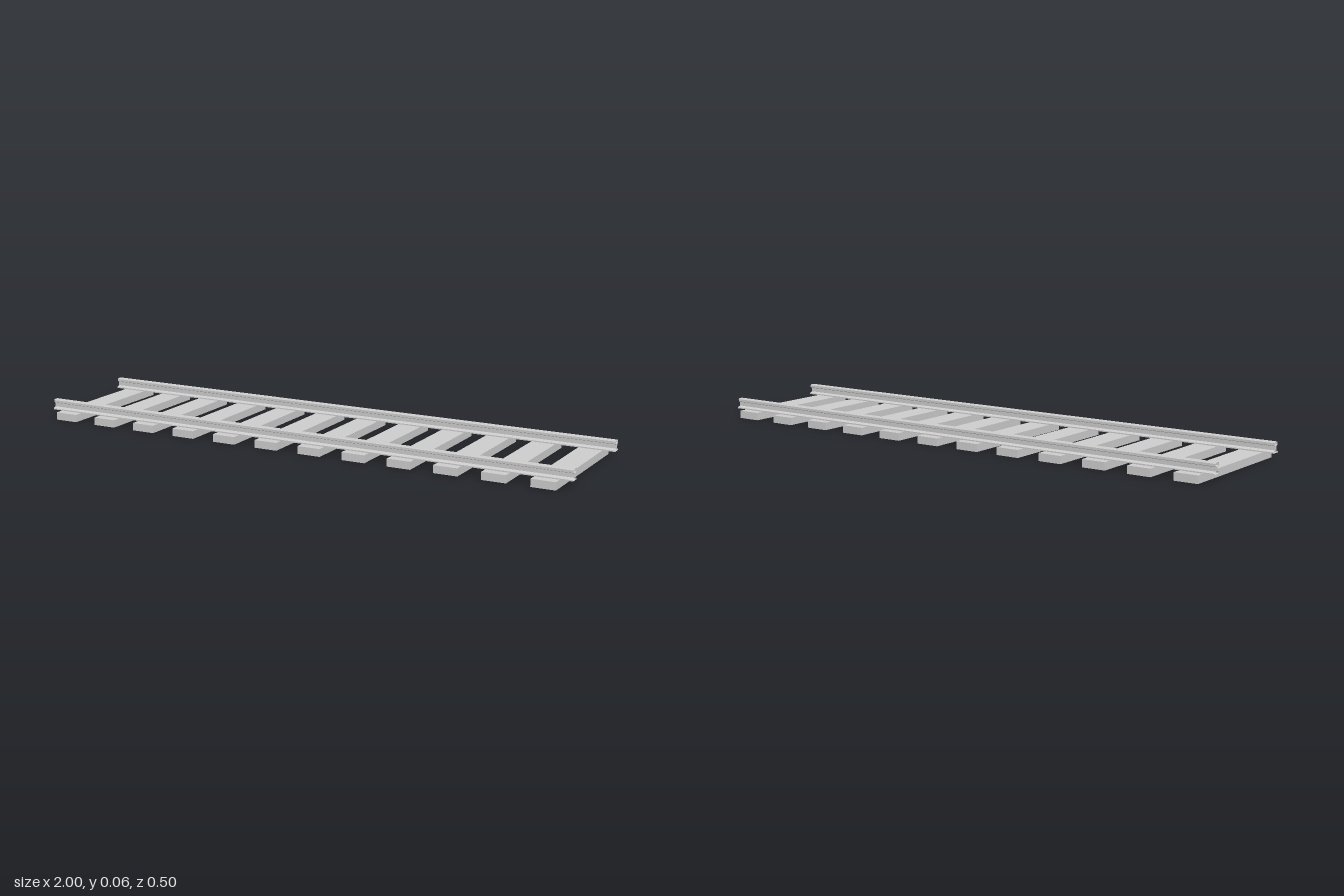
import * as THREE from 'three';

// Open-ended sweep of a closed (z, y) outline along x, with hard edges
function sweep(outline, length) {
  const pos = [];
  const h = length / 2;
  outline.forEach(([z0, y0], i) => {
    const [z1, y1] = outline[(i + 1) % outline.length];
    const a = [-h, y0, z0], b = [-h, y1, z1], c = [h, y1, z1], d = [h, y0, z0];
    pos.push(...a, ...c, ...b, ...a, ...d, ...c);
  });
  const geo = new THREE.BufferGeometry();
  geo.setAttribute('position', new THREE.Float32BufferAttribute(pos, 3));
  geo.computeVertexNormals();
  return geo;
}

export function createModel() {
  const model = new THREE.Group();
  model.name = 'railwayTrack';
  const sleeperMaterial = new THREE.MeshStandardMaterial({ color: 0xcccccc });
  const railMaterial = new THREE.MeshStandardMaterial({ color: 0xcccccc, side: THREE.DoubleSide });

  // Evenly spaced sleepers
  const sleepers = new THREE.Group();
  sleepers.name = 'sleepers';
  const sleeperGeo = new THREE.BoxGeometry(0.085, 0.027, 0.496);
  const count = 12;
  for (let i = 0; i < count; i++) {
    const sleeper = new THREE.Mesh(sleeperGeo, sleeperMaterial);
    sleeper.name = 'sleeper';
    sleeper.position.set(-0.919 + i / 6, 0.0135, 0);
    sleepers.add(sleeper);
  }
  model.add(sleepers);

  // Rail section: flat foot, thin web, chamfered head; half outline from bottom up
  const half = [
    [0.016, 0.027], [0.016, 0.031], [0.004, 0.036], [0.004, 0.05],
    [0.011, 0.053], [0.011, 0.061], [0.008, 0.064],
  ];
  const mirrored = half.map(([z, y]) => [-z, y]).reverse();
  const railGeo = sweep([...half, ...mirrored], 2);
  for (const side of [1, -1]) {
    const rail = new THREE.Mesh(railGeo, railMaterial);
    rail.name = side > 0 ? 'frontRail' : 'backRail';
    rail.position.z = side * 0.2;
    model.add(rail);
  }
  return model;
}
